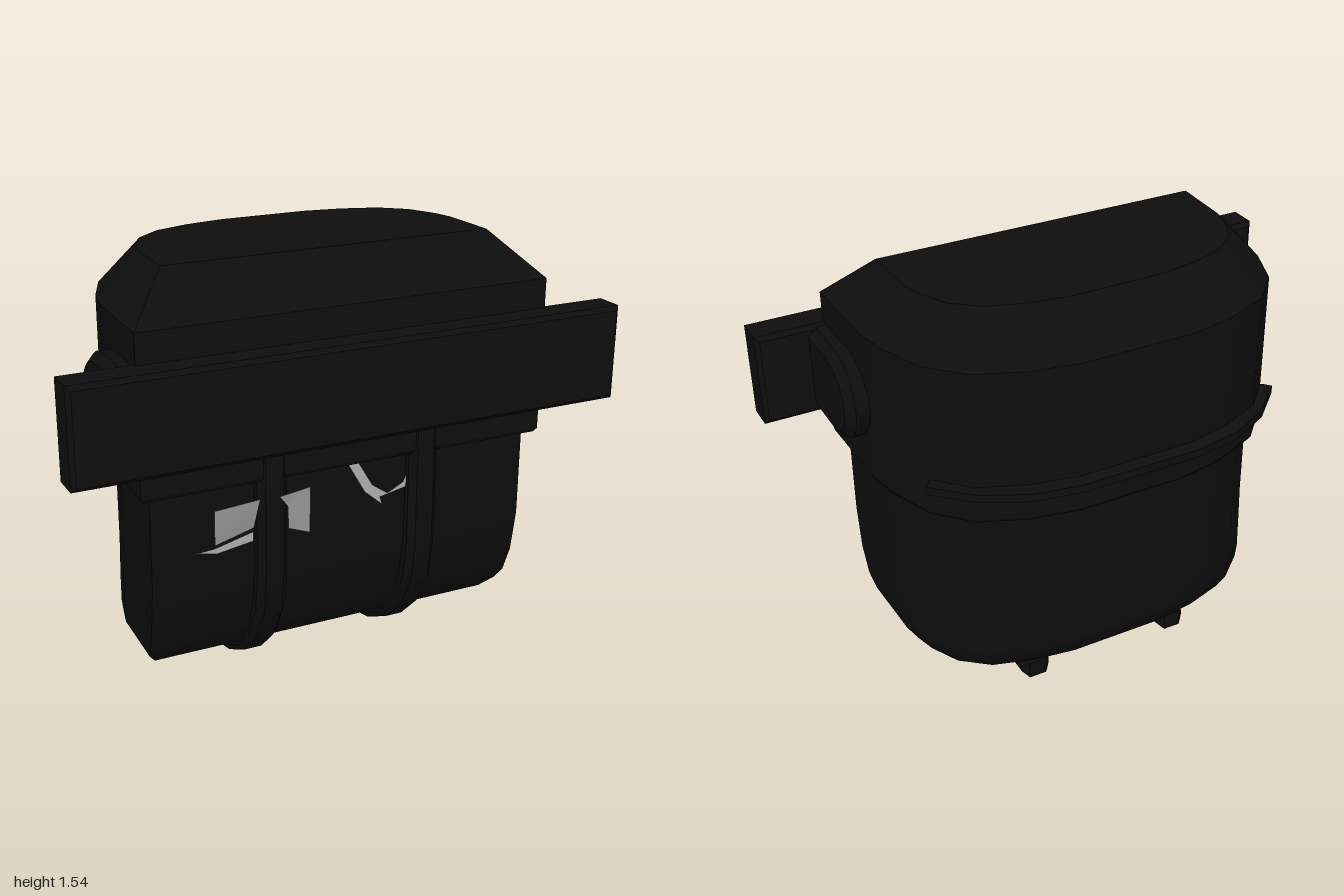
import * as THREE from 'three';
import { toCreasedNormals } from 'three/addons/utils/BufferGeometryUtils.js';

// Half of the D-shaped plan: [fraction of half width, fraction of depth from front to back]
const PLAN = [[1, 0], [0.985, 0.42], [0.955, 0.55], [0.87, 0.74], [0.72, 0.88], [0.5, 0.96], [0.27, 1]];

function outline(w, front, back) {
  const half = PLAN.map(([u, t]) => [u * w, front + (back - front) * t]);
  return [...half, ...half.map(([x, z]) => [-x, z]).reverse()];
}

// Skin D-shaped rings given as [y, half width, front z, back z], bottom to top
function loft(rows, crease) {
  const pos = [], idx = [], n = PLAN.length * 2, last = (rows.length - 1) * n;
  for (const [y, w, f, b] of rows) for (const [x, z] of outline(w, f, b)) pos.push(x, y, z);
  for (let i = 0; i < rows.length - 1; i++) {
    for (let j = 0; j < n; j++) {
      const a = i * n + j, b = i * n + (j + 1) % n;
      idx.push(a, b, b + n, a, b + n, a + n);
    }
  }
  for (let j = 1; j < n - 1; j++) idx.push(0, j + 1, j, last, last + j, last + j + 1);
  const g = new THREE.BufferGeometry();
  g.setAttribute('position', new THREE.Float32BufferAttribute(pos, 3));
  g.setIndex(idx);
  return toCreasedNormals(g, crease);
}

// Chamfered slab of a shape, centred on its depth
function slab(shape, depth, bevel) {
  const g = new THREE.ExtrudeGeometry(shape, {
    depth: depth - 2 * bevel, bevelEnabled: bevel > 0, bevelThickness: bevel,
    bevelSize: bevel, bevelOffset: -bevel, bevelSegments: 1, curveSegments: 10,
  });
  g.translate(0, 0, bevel - depth / 2);
  return toCreasedNormals(g, 0.6);
}

const polygon = (pts) => new THREE.Shape(pts.map(([x, y]) => new THREE.Vector2(x, y)));

export function createModel() {
  const group = new THREE.Group();
  const black = new THREE.MeshStandardMaterial({ color: 0x0d0d0d });
  black.name = 'black';
  const grey = new THREE.MeshStandardMaterial({ color: 0xb0b0b0, side: THREE.DoubleSide });
  grey.name = 'light grey';
  const add = (name, geometry, material = black) => {
    const mesh = new THREE.Mesh(geometry, material);
    mesh.name = name;
    group.add(mesh);
    return mesh;
  };

  // Upper lid with chamfered top and a small bottom lip
  add('lid', loft([
    [0.82, 0.74, 0.39, -0.44], [0.835, 0.75, 0.4, -0.45],
    [1.385, 0.75, 0.4, -0.45], [1.54, 0.6, 0.24, -0.3],
  ], 0.5));

  // Lower pouch, rounded underneath
  add('pouch', loft([
    [0.075, 0.45, 0.05, -0.27], [0.09, 0.56, 0.12, -0.3], [0.14, 0.66, 0.21, -0.36],
    [0.19, 0.695, 0.26, -0.39], [0.24, 0.705, 0.3, -0.4], [0.34, 0.71, 0.335, -0.4],
    [0.5, 0.71, 0.36, -0.4], [0.83, 0.71, 0.36, -0.4],
  ], 0.8));

  // Front bar
  add('frontBar', slab(polygon([[-1, 0.94], [1, 0.94], [1, 1.28], [-1, 1.28]]), 0.13, 0.015))
    .position.z = 0.435;

  // Rounded side mounts, drawn in (z, y)
  const mount = new THREE.Shape();
  mount.moveTo(0.4, 0.95);
  mount.lineTo(0.4, 1.27);
  mount.lineTo(0.19, 1.27);
  mount.absarc(0.19, 1.11, 0.16, Math.PI / 2, Math.PI * 1.5, false);
  mount.closePath();

  // Straps down the front and under the pouch, drawn in (z, y)
  const strap = polygon([
    [0.405, 0.95], [0.405, 0.48], [0.385, 0.33], [0.315, 0.2], [0.21, 0.1], [0.07, 0.03],
    [-0.08, 0], [-0.28, 0.005], [-0.28, 0.07], [-0.06, 0.08], [0.09, 0.11], [0.19, 0.17],
    [0.26, 0.25], [0.31, 0.36], [0.32, 0.48], [0.32, 0.95],
  ]);

  for (const [side, s] of [['left', 1], ['right', -1]]) {
    add(side + 'Mount', slab(mount, 0.17, 0.03).rotateY(-Math.PI / 2)).position.x = s * 0.73;
    add(side + 'Strap', slab(strap, 0.11, 0.022).rotateY(-Math.PI / 2)).position.x = s * 0.288;
  }

  // Thin ledge around the back of the lid
  const outer = [[0.65, -0.24], [0.675, -0.27], [0.55, -0.39], [0.39, -0.47], [0.22, -0.5]];
  const inner = [[0.6, -0.24], [0.5, -0.33], [0.36, -0.39], [0.2, -0.42]];
  const mirror = (half) => [...half, ...half.map(([x, z]) => [-x, z]).reverse()];
  const ledge = polygon([...mirror(outer), ...mirror(inner).reverse()].map(([x, z]) => [x, -z]));
  add('backLedge', slab(ledge, 0.03, 0).rotateX(-Math.PI / 2)).position.y = 0.95;

  // Pale flaps on the front, the first two leaning out at the top
  const flaps = [
    [0.44, [[-0.51, 0.76], [-0.35, 0.775], [-0.35, 0.65], [-0.49, 0.61]]],
    [0.44, [[-0.28, 0.77], [-0.17, 0.79], [-0.14, 0.59], [-0.22, 0.62], [-0.24, 0.72]]],
    [0, [[-0.56, 0.595], [-0.49, 0.6], [-0.35, 0.635], [-0.35, 0.6], [-0.48, 0.58]]],
    [0, [[0, 0.82], [0.04, 0.82], [0.1, 0.72], [0.16, 0.68], [0.22, 0.71], [0.24, 0.755],
      [0.23, 0.69], [0.13, 0.67], [0.14, 0.64], [0.07, 0.7]]],
  ];
  for (const [lean, pts] of flaps) {
    const g = new THREE.ShapeGeometry(polygon(pts));
    const p = g.attributes.position;
    for (let i = 0; i < p.count; i++) p.setZ(i, Math.max(0.368, 0.368 + lean * (p.getY(i) - 0.64)));
    g.computeVertexNormals();
    add('frontFlap', g, grey);
  }
  return group;
}
